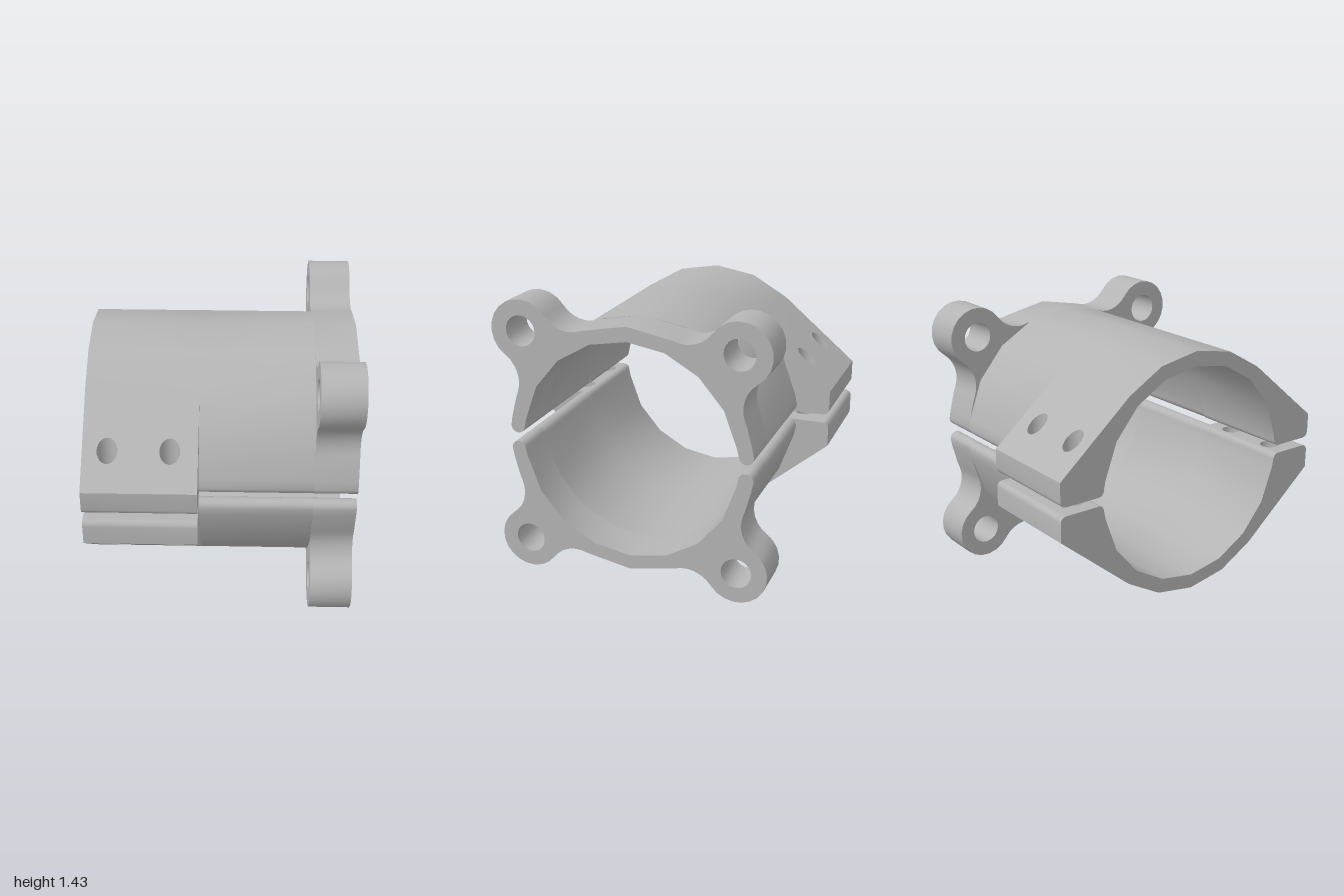
import * as THREE from 'three';
import { mergeGeometries, toCreasedNormals } from 'three/addons/utils/BufferGeometryUtils.js';

// Main sizes: axis along local z, split plane at y = 0
const R = 0.635, BORE = 0.56, GAP = 0.0225;
const Z_BACK = -0.631, Z_CLAMP = -0.075, Z_FLANGE = 0.49, Z_FRONT = 0.704;
const EAR_X = 0.808, BOLT_X = 0.648, BOLT_R = 0.05, SINK_R = 0.11, SINK_Y = 0.16;
const BOLT_Z = [-0.51, -0.21];
const BOSS = 0.557, BOSS_R = 0.158, BOSS_HOLE = 0.078, FILLET = 0.16;

const rad = THREE.MathUtils.degToRad;
const deg = THREE.MathUtils.radToDeg;

// Points along an arc, angles in degrees
function arc(cx, cy, r, a0, a1, n) {
  return Array.from({ length: n + 1 }, (_, i) => {
    const a = rad(a0 + (a1 - a0) * i / n);
    return new THREE.Vector2(cx + r * Math.cos(a), cy + r * Math.sin(a));
  });
}

const mirror = (pts) => pts.map((p) => new THREE.Vector2(-p.x, p.y)).reverse();
const boreArc = () => arc(0, 0, BORE, 170, 10, 8);

// Closed half-ring outline from its right side, the crown point and the bore
function halfOutline(right) {
  return [...right, new THREE.Vector2(0, R), ...mirror(right), ...boreArc()];
}

// Merge pieces and smooth everything except real edges
function finish(geos) {
  const plain = geos.map((g) => {
    const n = g.index ? g.toNonIndexed() : g;
    n.deleteAttribute('uv');
    n.deleteAttribute('normal');
    n.clearGroups();
    return n;
  });
  const merged = mergeGeometries(plain);
  merged.computeVertexNormals();
  return toCreasedNormals(merged, 0.55);
}

function extrude(shape, z0, z1) {
  const g = new THREE.ExtrudeGeometry(shape, { depth: z1 - z0, bevelEnabled: false, curveSegments: 12 });
  return g.translate(0, 0, z0);
}

function flip(g) {
  const ix = g.index.array;
  for (let i = 0; i < ix.length; i += 3) [ix[i], ix[i + 1]] = [ix[i + 1], ix[i]];
  return g;
}

// Open wall swept along z from a chain of points
function wall(pts, z0, z1) {
  const pos = [], index = [];
  pts.forEach((p, i) => {
    pos.push(p.x, p.y, z0, p.x, p.y, z1);
    if (i) {
      const b = 2 * i, a = b - 2;
      index.push(a, b, b + 1, a, b + 1, a + 1);
    }
  });
  const g = new THREE.BufferGeometry();
  g.setAttribute('position', new THREE.Float32BufferAttribute(pos, 3));
  g.setIndex(index);
  return g;
}

// Rounded lip of the thin wall beside the split
const lip = () => arc((R + BORE) / 2, GAP + 0.0375, 0.0375, 180, 360, 8);

function hubGeometry() {
  const shape = new THREE.Shape(halfOutline([...lip(), ...arc(0, 0, R, 10, 70, 3)]));
  return finish([extrude(shape, Z_CLAMP, Z_FLANGE)]);
}

// Flange: ring with two round bosses blended in by concave fillets
function flangeGeometry() {
  const d = R + FILLET, b = BOSS * Math.SQRT2, s = BOSS_R + FILLET;
  const beta = deg(Math.acos((d * d + b * b - s * s) / (2 * d * b)));
  const a = 45 - beta;
  const cx = d * Math.cos(rad(a)), cy = d * Math.sin(rad(a));
  const toBoss = deg(Math.atan2(BOSS - cy, BOSS - cx));
  const right = [
    ...lip(),
    ...arc(0, 0, R, 10, a - 2, 1),
    ...arc(cx, cy, FILLET, a + 180, toBoss, 6),
    ...arc(BOSS, BOSS, BOSS_R, toBoss - 180, 270 - toBoss, 12).slice(1, -1),
    ...arc(cy, cx, FILLET, 90 - toBoss, -90 - a, 6),
  ];
  const shape = new THREE.Shape(halfOutline(right));
  for (const x of [-BOSS, BOSS]) {
    shape.holes.push(new THREE.Path().absarc(x, BOSS, BOSS_HOLE, 0, Math.PI * 2, true));
  }
  return finish([extrude(shape, Z_FLANGE, Z_FRONT)]);
}

// Clamp ears: tangent slopes, bolt holes and optional counterbores
function clampGeometry(counterbored) {
  const tx = R * Math.sin(rad(40)), ty = R * Math.cos(rad(40));
  const slope = (x) => ty - Math.tan(rad(40)) * (Math.abs(x) - tx);
  const f = 0.03;
  const inner = arc(BORE + f, GAP + f, f, 180, 270, 4);
  const outer = [...arc(EAR_X - f, GAP + f, f, 270, 360, 4), new THREE.Vector2(EAR_X, slope(EAR_X))];
  const crown = arc(0, 0, R, 50, 130, 4);
  const bore = [new THREE.Vector2(-BORE, GAP + f), ...boreArc(), new THREE.Vector2(BORE, GAP + f)];
  const chains = [inner, outer, crown, mirror(outer), mirror(inner), bore];
  const geos = chains.map((c) => wall(c, Z_BACK, Z_CLAMP));

  // End faces
  const end = new THREE.Shape([...chains.slice(0, 5).flat(), ...boreArc()]);
  geos.push(new THREE.ShapeGeometry(end).translate(0, 0, Z_CLAMP));
  geos.push(flip(new THREE.ShapeGeometry(end)).translate(0, 0, Z_BACK));

  // Face over (x, z) with round holes, its height given by a rule
  const plate = (x0, x1, holeR, height, side, up) => {
    const s = new THREE.Shape([[x0, Z_BACK], [x1, Z_BACK], [x1, Z_CLAMP], [x0, Z_CLAMP]]
      .map(([x, z]) => new THREE.Vector2(x, z)));
    for (const z of BOLT_Z) s.holes.push(new THREE.Path().absarc(BOLT_X, z, holeR, 0, Math.PI * 2, true));
    const g = new THREE.ShapeGeometry(s, 12);
    const p = g.attributes.position;
    for (let i = 0; i < p.count; i++) p.setXYZ(i, side * p.getX(i), height(p.getX(i)), p.getY(i));
    return (side > 0) === up ? flip(g) : g;
  };
  // Inward-facing hole wall between two height rules
  const hole = (x, z, r, low, high) => {
    const g = new THREE.CylinderGeometry(r, r, 1, 24, 1, true).translate(x, 0, z);
    const p = g.attributes.position;
    for (let i = 0; i < p.count; i++) p.setY(i, (p.getY(i) > 0 ? high : low)(p.getX(i)));
    return flip(g);
  };

  const flat = () => GAP, floor = () => SINK_Y;
  for (const side of [1, -1]) {
    geos.push(plate(tx, EAR_X, counterbored ? SINK_R : BOLT_R, slope, side, true));
    geos.push(plate(BORE + f, EAR_X - f, BOLT_R, flat, side, false));
    for (const z of BOLT_Z) {
      const x = side * BOLT_X;
      geos.push(hole(x, z, BOLT_R, flat, counterbored ? floor : slope));
      if (counterbored) {
        geos.push(hole(x, z, SINK_R, floor, slope));
        geos.push(new THREE.RingGeometry(BOLT_R, SINK_R, 24).rotateX(-Math.PI / 2).translate(x, SINK_Y, z));
      }
    }
  }
  return finish(geos);
}

export function createModel() {
  const metal = new THREE.MeshStandardMaterial({ color: 0xb4b4b4, side: THREE.DoubleSide });
  metal.name = 'grey metal';

  const coupling = new THREE.Group();
  coupling.name = 'splitClampCoupling';
  for (const name of ['upperHalf', 'lowerHalf']) {
    const lower = name === 'lowerHalf';
    const half = new THREE.Group();
    half.name = name;
    const parts = { hub: hubGeometry(), flange: flangeGeometry(), clampEars: clampGeometry(lower) };
    for (const [part, geometry] of Object.entries(parts)) {
      const mesh = new THREE.Mesh(geometry, metal);
      mesh.name = part;
      half.add(mesh);
    }
    if (lower) half.rotation.z = Math.PI;
    coupling.add(half);
  }
  // The axis is turned towards the front left
  coupling.rotation.y = rad(58.7);
  coupling.position.set(-0.011, 0.715, 0.019);

  const model = new THREE.Group();
  model.name = 'model';
  model.add(coupling);
  return model;
}
